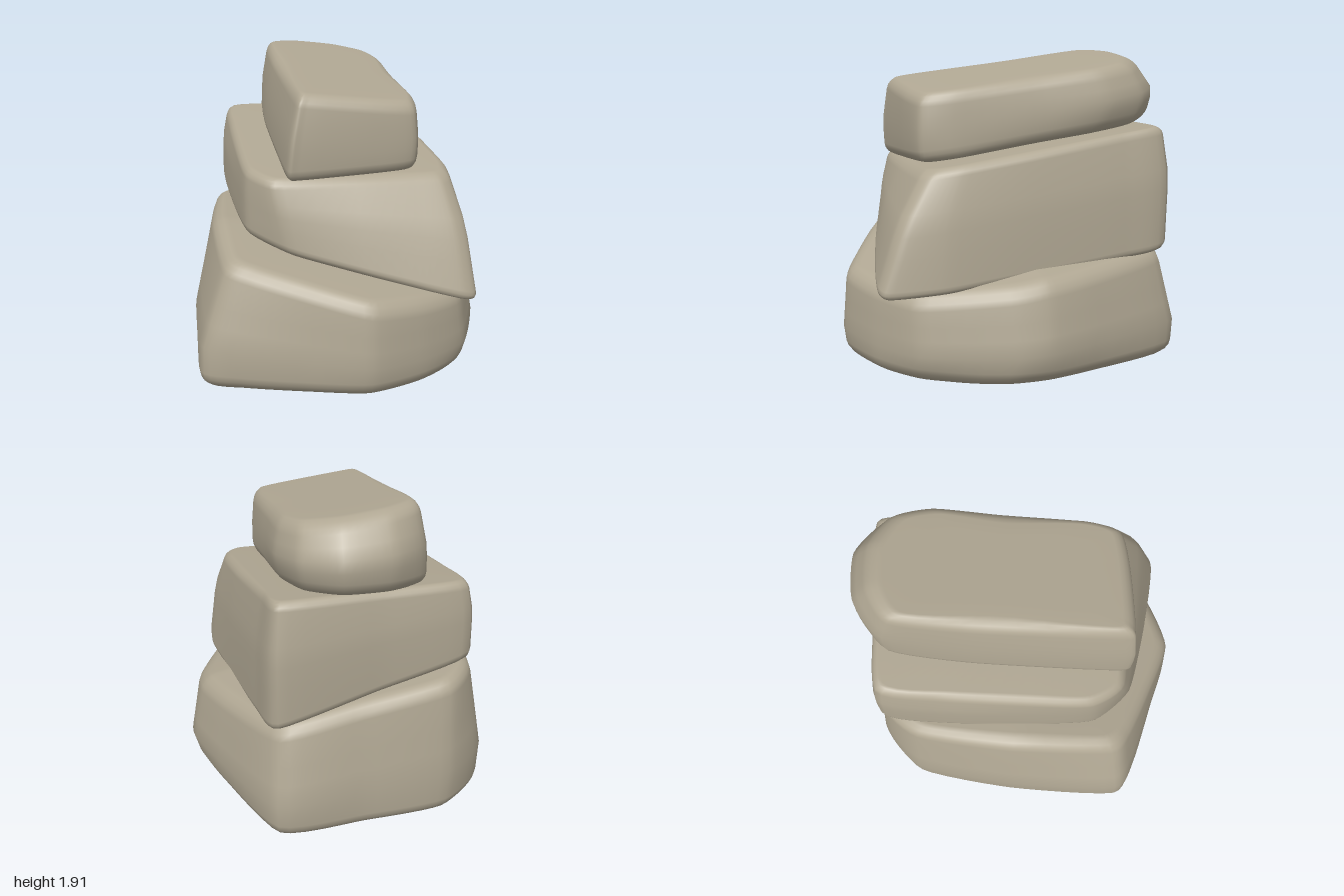
import * as THREE from 'three';

const stone = new THREE.MeshStandardMaterial({ color: 0xb0a793 });
stone.name = 'weathered stone';

const STEPS = 6; // samples per outline corner

// Closed plan outline with lightly softened corners, from [x, z] pairs
function outline(corners) {
  const curve = new THREE.CatmullRomCurve3(
    corners.map(([x, z]) => new THREE.Vector3(x, 0, z)), true, 'catmullrom', 0.3);
  const n = corners.length * STEPS;
  return Array.from({ length: n }, (_, i) => curve.getPoint(i / n));
}

// Boulder lofted through plan outlines between two sloping faces, with rounded rims.
// levels: [[height fraction, corners], ...]; bottom and top: (x, z) => y
function boulder(name, { levels, bottom, top, rim }) {
  const loops = levels.map(([t, corners]) => [t, outline(corners)]);
  const n = loops[0][1].length;
  const centre = new THREE.Vector3();
  loops[0][1].forEach(p => centre.addScaledVector(p, 1 / n));

  const planAt = (t, i) => {
    let k = 0;
    while (k < loops.length - 2 && t > loops[k + 1][0]) k++;
    const [t0, a] = loops[k], [t1, b] = loops[k + 1];
    return a[i].clone().lerp(b[i], (t - t0) / (t1 - t0));
  };

  // Each ring: scale toward centre, rim inset, and height (fraction plus rim offset)
  const arc = [0, 0.25, 0.5, 0.75, 1].map(a => a * Math.PI / 2);
  const rimRing = (a, t, sign) =>
    ({ s: 1, inset: rim * (1 - Math.sin(a)), t, dy: sign * rim * (1 - Math.cos(a)) });
  const capRing = (s, t) => ({ s, inset: rim, t, dy: 0 });
  const rings = [
    ...[0, 0.35, 0.7].map(s => capRing(s, 0)),
    ...arc.map(a => rimRing(a, 0, 1)),
    ...[0.33, 0.5, 0.66].map(t => ({ s: 1, inset: 0, t, dy: 0 })),
    ...arc.slice().reverse().map(a => rimRing(a, 1, -1)),
    ...[0.7, 0.35, 0].map(s => capRing(s, 1)),
  ];

  const pos = [], idx = [];
  rings.forEach(({ s, inset, t, dy }, r) => {
    for (let i = 0; i < n; i++) {
      const rough = planAt(t, i);
      const f = t + dy / (top(rough.x, rough.z) - bottom(rough.x, rough.z));
      const p = planAt(f, i).sub(centre);
      const len = p.length();
      p.multiplyScalar(s * (len - inset) / len).add(centre);
      const lo = bottom(p.x, p.z), hi = top(p.x, p.z);
      pos.push(p.x, lo + (hi - lo) * f, p.z);
      if (r < rings.length - 1) {
        const j = (i + 1) % n;
        const a = r * n + i, b = r * n + j, c = b + n, d = a + n;
        if (r > 0) idx.push(a, b, c);
        if (r < rings.length - 2) idx.push(a, c, d);
      }
    }
  });
  const g = new THREE.BufferGeometry();
  g.setAttribute('position', new THREE.Float32BufferAttribute(pos, 3));
  g.setIndex(idx);
  g.computeVertexNormals();
  const mesh = new THREE.Mesh(g, stone);
  mesh.name = name;
  return mesh;
}

export function createModel() {
  const group = new THREE.Group();
  group.name = 'stackedRocks';

  // Wide base, higher on its right side and falling toward the front
  group.add(boulder('baseRock', {
    rim: 0.09,
    bottom: (x, z) => 0.005 + 0.035 * x * x + 0.07 * Math.max(z - 0.4, 0),
    top: (x, z) => 0.775 - 0.16 * x - (z > 0 ? 0.17 : 0.03) * z,
    levels: [
      [0, [[-0.93, 0.58], [-0.72, 0.71], [-0.36, 0.85], [0, 0.97], [0.35, 0.88], [0.61, 0.69], [0.85, 0.24],
        [0.88, -0.04], [0.81, -0.38], [0.62, -0.95], [0.1, -0.97], [-0.4, -0.97], [-0.7, -0.74], [-0.85, -0.15]]],
      [0.3, [[-0.93, 0.58], [-0.75, 0.72], [-0.36, 0.87], [0, 1], [0.35, 0.9], [0.67, 0.7], [0.91, 0.22],
        [0.95, -0.01], [0.86, -0.36], [0.63, -0.97], [0.1, -0.98], [-0.42, -0.98], [-0.72, -0.75], [-0.88, -0.1]]],
      [1, [[-0.75, 0.52], [-0.63, 0.65], [-0.35, 0.81], [0, 0.97], [0.33, 0.88], [0.62, 0.7], [0.84, 0.22],
        [0.87, -0.02], [0.79, -0.34], [0.58, -0.86], [0.1, -0.9], [-0.42, -0.92], [-0.63, -0.7], [-0.74, -0.1]]],
    ],
  }));

  // Wedge with a sloping front and a pointed front left corner
  group.add(boulder('middleRock', {
    rim: 0.055,
    bottom: (x, z) => 0.78 - 0.25 * x - 0.08 * z,
    top: (x, z) => 1.345 - 0.14 * z,
    levels: [
      [0, [[-0.61, 0.42], [-0.4, 0.66], [0, 0.8], [0.35, 0.89], [0.57, 0.93], [0.66, 0.89], [0.71, 0.55],
        [0.69, 0], [0.66, -0.6], [0.6, -0.91], [0, -0.91], [-0.53, -0.9], [-0.61, -0.5], [-0.63, 0.1]]],
      [0.6, [[-0.61, 0.4], [-0.45, 0.62], [0, 0.72], [0.35, 0.77], [0.55, 0.79], [0.63, 0.74], [0.67, 0.5],
        [0.67, 0], [0.65, -0.6], [0.6, -0.92], [0, -0.92], [-0.53, -0.9], [-0.6, -0.5], [-0.62, 0.1]]],
      [1, [[-0.6, 0.38], [-0.48, 0.57], [0, 0.61], [0.33, 0.62], [0.5, 0.62], [0.57, 0.56], [0.61, 0.4],
        [0.62, 0], [0.6, -0.6], [0.57, -0.88], [0, -0.89], [-0.5, -0.88], [-0.56, -0.5], [-0.6, 0.1]]],
    ],
  }));

  // Long capstone rising toward the back
  group.add(boulder('topRock', {
    rim: 0.075,
    bottom: (x, z) => 1.34 - 0.14 * z + 0.03 * x,
    top: (x, z) => 1.795 - 0.135 * z - 0.11 * x,
    levels: [
      [0, [[-0.41, 0.55], [-0.34, 0.62], [0.1, 0.62], [0.35, 0.59], [0.43, 0.4], [0.46, -0.1], [0.47, -0.5],
        [0.41, -0.78], [0.23, -0.95], [-0.05, -0.95], [-0.29, -0.8], [-0.37, -0.3]]],
      [0.45, [[-0.39, 0.57], [-0.32, 0.63], [0.1, 0.63], [0.36, 0.6], [0.43, 0.4], [0.48, -0.15], [0.52, -0.55],
        [0.45, -0.82], [0.25, -0.99], [-0.05, -0.99], [-0.28, -0.82], [-0.35, -0.3]]],
      [1, [[-0.33, 0.54], [-0.27, 0.61], [0.1, 0.62], [0.34, 0.59], [0.41, 0.4], [0.44, -0.1], [0.47, -0.5],
        [0.41, -0.72], [0.22, -0.84], [-0.05, -0.85], [-0.25, -0.74], [-0.3, -0.3]]],
    ],
  }));

  return group;
}
